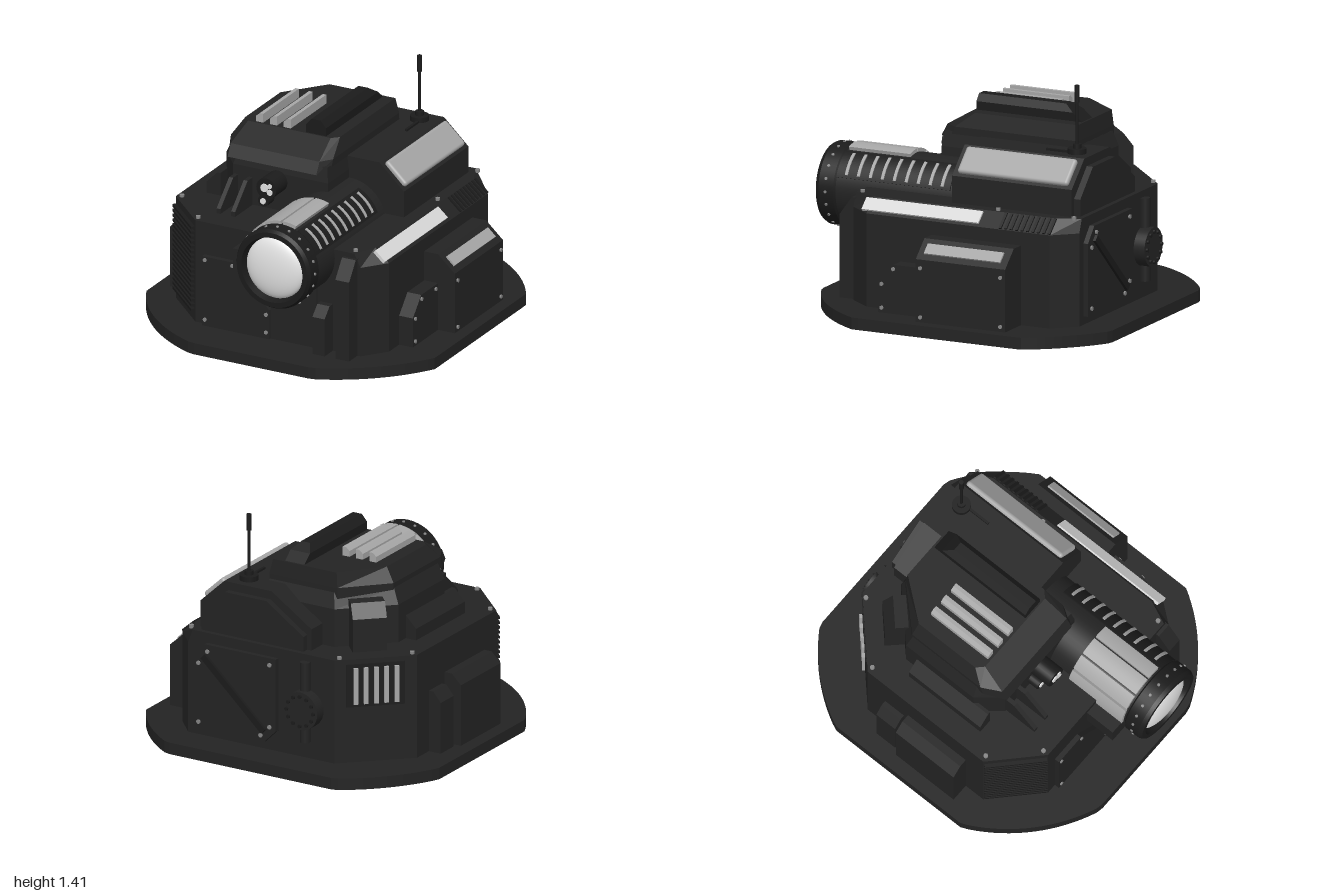
import * as THREE from 'three';
import { RoundedBoxGeometry } from 'three/addons/geometries/RoundedBoxGeometry.js';

const mat = (name, color) => Object.assign(new THREE.MeshStandardMaterial({ color }), { name });

export function createModel() {
  const model = new THREE.Group();
  const dark = mat('charcoal armour', 0x232323);
  const black = mat('black trim', 0x1b1b1b);
  const mid = mat('grey light strip', 0xa6a6a6);
  const light = mat('pale light strip', 0xd8d8d8);
  const steel = mat('steel bolt', 0x858585);
  const lensMat = mat('white lens', 0xe2e2e2);

  const add = (name, geo, material, x = 0, y = 0, z = 0, rx = 0, ry = 0, rz = 0, parent = model) => {
    const m = new THREE.Mesh(geo, material);
    m.name = name;
    m.position.set(x, y, z);
    m.rotation.set(rx, ry, rz);
    parent.add(m);
    return m;
  };
  const group = (name, x = 0, y = 0, z = 0, ry = 0) => {
    const g = new THREE.Group();
    g.name = name;
    g.position.set(x, y, z);
    g.rotation.y = ry;
    model.add(g);
    return g;
  };
  const box = (w, h, d) => new THREE.BoxGeometry(w, h, d);
  const cyl = (r, h, n = 24, r2 = r) => new THREE.CylinderGeometry(r2, r, h, n);
  const extrude = (pts, depth) => new THREE.ExtrudeGeometry(
    new THREE.Shape(pts.map(p => new THREE.Vector2(...p))), { depth, bevelEnabled: false });
  const alongZ = (pts, z0, z1) => extrude(pts, z1 - z0).translate(0, 0, z0); // points are x, y
  const alongX = (pts, x0, x1) => extrude(pts, x1 - x0).rotateY(-Math.PI / 2).translate(x1, 0, 0); // z, y
  const alongY = (pts, y0, y1) => extrude(pts, y1 - y0).rotateX(Math.PI / 2).translate(0, y1, 0); // x, z

  // Flat-sided solid through plan outlines [x, z] at rising heights
  const loft = (levels) => {
    const pos = [], n = levels[0][1].length;
    const P = (l, i) => { const p = levels[l][1][i % n]; return [p[0], levels[l][0], p[1]]; };
    const top = levels.length - 1;
    for (let l = 0; l < top; l++) for (let i = 0; i < n; i++) {
      const a = P(l, i), b = P(l, i + 1), c = P(l + 1, i + 1), d = P(l + 1, i);
      pos.push(...a, ...b, ...c, ...a, ...c, ...d);
    }
    for (let i = 1; i < n - 1; i++) {
      pos.push(...P(top, 0), ...P(top, i), ...P(top, i + 1));
      pos.push(...P(0, 0), ...P(0, i + 1), ...P(0, i));
    }
    const g = new THREE.BufferGeometry();
    g.setAttribute('position', new THREE.Float32BufferAttribute(pos, 3));
    g.computeVertexNormals();
    return g;
  };

  // Ground plate: a disc clipped by a rectangle
  const disc = [];
  for (let i = 0; i < 144; i++) {
    const a = i / 144 * Math.PI * 2;
    disc.push([THREE.MathUtils.clamp(0.02 + 1.09 * Math.cos(a), -0.965, 0.965),
      THREE.MathUtils.clamp(-0.07 + 1.09 * Math.sin(a), -1, 0.945)]);
  }
  add('basePlate', alongY(disc, 0, 0.07), dark);

  // Main hull with a sloped right shoulder
  const hull = [[-0.77, 0.4], [-0.5, 0.66], [0.58, 0.66], [0.69, 0.52], [0.69, -0.66], [0.57, -0.79], [-0.42, -0.79], [-0.77, -0.46]];
  const hullTop = hull.map(([x, z]) => [x > 0.6 ? 0.6 : x > 0.5 ? 0.54 : x, z]);
  add('hull', loft([[0.07, hull], [0.62, hull], [0.7, hullTop]]), dark);
  add('shoulderLight', box(0.085, 0.02, 0.75), light, 0.645, 0.662, 0.18, 0, 0, -0.72);
  for (let i = 0; i < 10; i++)
    add('shoulderVent', box(0.11, 0.03, 0.016), black, 0.642, 0.655, -0.34 - i * 0.035, 0, 0, -0.72);

  // Cooling ribs on the front right corner
  const ribs = group('coolingRibs', -0.635, 0, 0.53, -0.767);
  for (let i = 0; i < 18; i++)
    add('coolingRib', box(0.36, 0.015, 0.03), black, 0, 0.14 + i * 0.03, 0.008, 0, 0, 0, ribs);

  // Front panels and blocks
  add('frontPanel', alongZ([[-0.44, 0.07], [-0.44, 0.5], [-0.24, 0.5], [0, 0.25], [0, 0.07]], 0.65, 0.69), dark);
  add('frontLowerPlate', alongZ([[0.0, 0.07], [0, 0.45], [0.3, 0.45], [0.3, 0.07]], 0.65, 0.675), dark);
  add('frontBlockShort', alongX([[0.65, 0.07], [0.76, 0.07], [0.76, 0.3], [0.7, 0.36], [0.65, 0.36]], 0.32, 0.4), dark);
  add('frontBlockTall', alongX([[0.65, 0.07], [0.76, 0.07], [0.76, 0.56], [0.68, 0.67], [0.65, 0.67]], 0.47, 0.56), dark);
  add('barrelBracket', box(0.12, 0.13, 0.2), dark, -0.09, 0.6, 0.75);

  // Side pods
  add('leftPod', alongZ([[0.68, 0.07], [0.89, 0.07], [0.89, 0.44], [0.78, 0.54], [0.68, 0.54]], -0.475, 0.1), dark);
  add('podLight', box(0.07, 0.016, 0.49), mid, 0.837, 0.492, -0.185, 0, 0, -0.738);
  add('leftHatch', alongX([[0.09, 0.07], [0.4, 0.07], [0.4, 0.25], [0.3, 0.36], [0.09, 0.36]], 0.68, 0.78), dark);
  add('rightPod', alongZ([[-0.76, 0.07], [-0.88, 0.07], [-0.88, 0.44], [-0.82, 0.5], [-0.76, 0.5]], -0.16, 0.27), dark);
  add('rightPodRear', alongZ([[-0.76, 0.07], [-0.85, 0.07], [-0.85, 0.38], [-0.8, 0.44], [-0.76, 0.44]], -0.33, -0.19), dark);

  // Grille on the rear right corner
  const grille = group('rearGrille', -0.59, 0.54, -0.62, Math.PI + 0.756);
  add('grilleFrame', box(0.34, 0.26, 0.03), black, 0, 0, 0, 0, 0, 0, grille);
  for (let i = 0; i < 5; i++)
    add('grilleSlat', box(0.026, 0.22, 0.04), mid, (i - 2) * 0.06, 0, 0.012, 0, 0, 0, grille);

  // Rear door, brace and round port
  add('rearDoor', alongZ([[-0.04, 0.2], [-0.04, 0.64], [0.44, 0.64], [0.52, 0.55], [0.52, 0.12], [0.04, 0.12]], -0.82, -0.78), dark);
  add('doorBrace', box(0.56, 0.04, 0.025), black, 0.24, 0.38, -0.825, 0, 0, 0.75);
  add('portPipe', cyl(0.03, 0.49, 12), dark, -0.23, 0.415, -0.805);
  add('rearPort', cyl(0.115, 0.09, 32), dark, -0.23, 0.375, -0.815, Math.PI / 2);
  for (let i = 0; i < 12; i++) {
    const a = i / 12 * Math.PI * 2;
    add('portBolt', cyl(0.011, 0.02, 8), black, -0.23 + 0.09 * Math.cos(a), 0.375 + 0.09 * Math.sin(a), -0.862, Math.PI / 2);
  }

  // Rear cabin with sloped light
  add('cabin', alongZ([[0.53, 0.69], [0.53, 0.86], [0.37, 1.01], [0.05, 1.01], [-0.22, 0.83], [-0.22, 0.69]], -0.72, 0.05), dark);
  add('cabinRearPanel', alongZ([[0.5, 0.69], [0.5, 0.8], [0.34, 0.96], [0.06, 0.96], [-0.19, 0.79], [-0.19, 0.69]], -0.76, -0.71), dark);
  add('cabinLight', new RoundedBoxGeometry(0.18, 0.04, 0.71, 3, 0.018), mid, 0.455, 0.94, -0.335, 0, 0, -0.753);

  // Antenna
  add('antennaBase', cyl(0.055, 0.03, 20), black, 0.265, 1.025, -0.62);
  add('antennaCollar', cyl(0.025, 0.03, 16), black, 0.265, 1.05, -0.62);
  add('antennaRod', cyl(0.008, 0.3, 10), black, 0.265, 1.18, -0.62);
  add('antennaTip', cyl(0.014, 0.1, 12), black, 0.265, 1.36, -0.62);
  add('antennaCable', box(0.015, 0.015, 0.18), black, 0.28, 1.015, -0.52);

  // Turret: lower body, overhanging hood, rear duct and side box
  const lower = [[-0.57, 0.16], [-0.45, 0.3], [0.17, 0.3], [0.17, -0.6], [-0.3, -0.6], [-0.57, -0.34]];
  add('turretBody', loft([[0.69, lower], [0.93, lower], [1.02, lower.map(([x, z]) => [x * 0.93, z * 0.95])]]), dark);
  const brim = [[-0.53, 0.2], [-0.47, 0.33], [0.11, 0.33], [0.16, 0.25], [0.16, -0.57], [-0.3, -0.57], [-0.53, -0.33]];
  const crown = [[-0.48, 0.1], [-0.44, 0.14], [0.1, 0.14], [0.14, 0.1], [0.14, -0.56], [-0.29, -0.56], [-0.48, -0.32]];
  const shoulder = brim.map(([x, z], i) => [(x + crown[i][0]) / 2, (z + crown[i][1]) / 2]);
  add('turretHood', loft([[0.98, brim], [1.05, shoulder.map(([x, z], i) => [brim[i][0], z * 0.4 + brim[i][1] * 0.6])], [1.14, crown]]), dark);
  add('turretRidge', loft([
    [1.13, [[-0.065, 0.13], [0.065, 0.13], [0.065, -0.56], [-0.065, -0.56]]],
    [1.19, [[-0.065, 0.13], [0.065, 0.13], [0.065, -0.49], [-0.065, -0.49]]],
    [1.23, [[-0.03, 0.13], [0.03, 0.13], [0.03, -0.43], [-0.03, -0.43]]]]), black);
  for (const x of [-0.372, -0.282, -0.192])
    add('turretLight', alongZ([[x - 0.023, 1.13], [x + 0.023, 1.13], [x + 0.023, 1.195], [x, 1.195], [x - 0.023, 1.175]], -0.3, 0.125), mid);
  add('turretSideBox', alongZ([[-0.55, 0.69], [-0.64, 0.69], [-0.64, 0.77], [-0.57, 0.84], [-0.55, 0.84]], -0.26, 0.27), dark);
  const duct = group('rearDuct', -0.45, 0, -0.49, Math.PI + 0.756);
  add('ductBody', alongX([[-0.1, 0.69], [0.09, 0.69], [0.09, 0.9], [0.03, 0.98], [-0.1, 0.98]], -0.1, 0.1), dark, 0, 0, 0, 0, 0, 0, duct);
  for (const x of [-0.43, -0.335])
    add('frontFin', alongX([[0.28, 0.69], [0.51, 0.69], [0.51, 0.73], [0.36, 0.87], [0.28, 0.87]], x - 0.013, x + 0.013), dark);

  // Camera with three small lenses
  add('cameraBody', cyl(0.065, 0.16, 28), black, -0.16, 0.88, 0.355, Math.PI / 2);
  for (const [x, y, r] of [[-0.17, 0.885, 0.025], [-0.135, 0.862, 0.018], [-0.135, 0.9, 0.014]])
    add('cameraLens', cyl(r, 0.012, 16), lensMat, x, y, 0.436, Math.PI / 2);
  add('sensor', cyl(0.035, 0.08, 20), black, -0.215, 0.77, 0.33, Math.PI / 2);
  add('sensorLens', cyl(0.018, 0.01, 16), lensMat, -0.215, 0.77, 0.372, Math.PI / 2);

  // Searchlight barrel; local y runs forward, rings are open arcs
  const barrel = group('searchlight', 0.18, 0.645, 0);
  add('barrelBody', cyl(0.232, 0.85, 48), dark, 0, 0, 0.475, Math.PI / 2, 0, 0, barrel);
  const collar = [[0.232, 0.86], [0.243, 0.87], [0.243, 0.965], [0.23, 0.988], [0.2, 0.988], [0.187, 0.94], [0.187, 0.88]];
  for (let i = 0; i < collar.length - 1; i++)
    add('barrelCollar', new THREE.LatheGeometry([collar[i], collar[i + 1]].map(p => new THREE.Vector2(...p)), 48), black, 0, 0, 0, Math.PI / 2, 0, 0, barrel);
  const dome = new THREE.SphereGeometry(0.187, 40, 14, 0, Math.PI * 2, 0, Math.PI / 2).scale(1, 0.32, 1);
  add('lens', dome, lensMat, 0, 0, 0.94, Math.PI / 2, 0, 0, barrel);
  for (let i = 0; i < 20; i++) {
    const a = i / 20 * Math.PI * 2;
    add('collarBolt', cyl(0.009, 0.012, 8), steel, 0.243 * Math.sin(a), 0.243 * Math.cos(a), 0.92, 0, 0, -a, barrel);
  }
  // Curved shell between two angles measured from the top towards +x
  const arcShell = (a0, a1, r0, r1, z0, z1) => {
    const s = new THREE.Shape();
    const t = d => Math.PI / 2 - THREE.MathUtils.degToRad(d);
    s.absarc(0, 0, r1, t(a0), t(a1), true);
    s.absarc(0, 0, r0, t(a1), t(a0), false);
    return new THREE.ExtrudeGeometry(s, { depth: z1 - z0, bevelEnabled: false, curveSegments: 8 }).translate(0, 0, z0);
  };
  for (const [a, b] of [[-88, -58], [-54, -32], [-29, -4], [-1, 19]])
    add('barrelLightPanel', arcShell(a, b, 0.22, 0.253, 0.455, 0.85), mid, 0, 0, 0, 0, 0, 0, barrel);
  add('barrelVent', arcShell(24, 68, 0.22, 0.24, 0.13, 0.86), black, 0, 0, 0, 0, 0, 0, barrel);
  for (let i = 0; i < 9; i++)
    add('barrelVentSlat', arcShell(29, 64, 0.22, 0.246, 0.172 + i * 0.077, 0.19 + i * 0.077), mid, 0, 0, 0, 0, 0, 0, barrel);

  // Bolts on hull top, front, left side and rear
  for (const [x, z] of [[-0.5, 0.625], [0.53, 0.625], [0.57, -0.755], [-0.43, -0.755], [-0.735, -0.455], [-0.735, 0.39], [0.575, -0.27]])
    add('topBolt', cyl(0.014, 0.02, 8), steel, x, 0.705, z);
  for (const [x, y] of [[-0.42, 0.48], [-0.24, 0.48], [-0.42, 0.11], [-0.02, 0.11], [-0.02, 0.22]])
    add('frontBolt', cyl(0.012, 0.012, 8), steel, x, y, 0.692, Math.PI / 2);
  for (const [z, y] of [[0.07, 0.39], [-0.445, 0.39], [0.07, 0.1], [-0.445, 0.1]])
    add('podBolt', cyl(0.012, 0.014, 8), steel, 0.892, y, z, 0, 0, Math.PI / 2);
  for (const [z, y] of [[0.3, 0.335], [0.13, 0.335], [0.375, 0.24], [0.375, 0.1]])
    add('hatchBolt', cyl(0.012, 0.012, 8), steel, 0.782, y, z, 0, 0, Math.PI / 2);
  for (const [x, y] of [[0.0, 0.6], [0.42, 0.6], [0.48, 0.16], [0.06, 0.16], [0, 0.22], [0.48, 0.52]])
    add('doorBolt', cyl(0.013, 0.014, 8), steel, x, y, -0.822, Math.PI / 2);

  return model;
}
